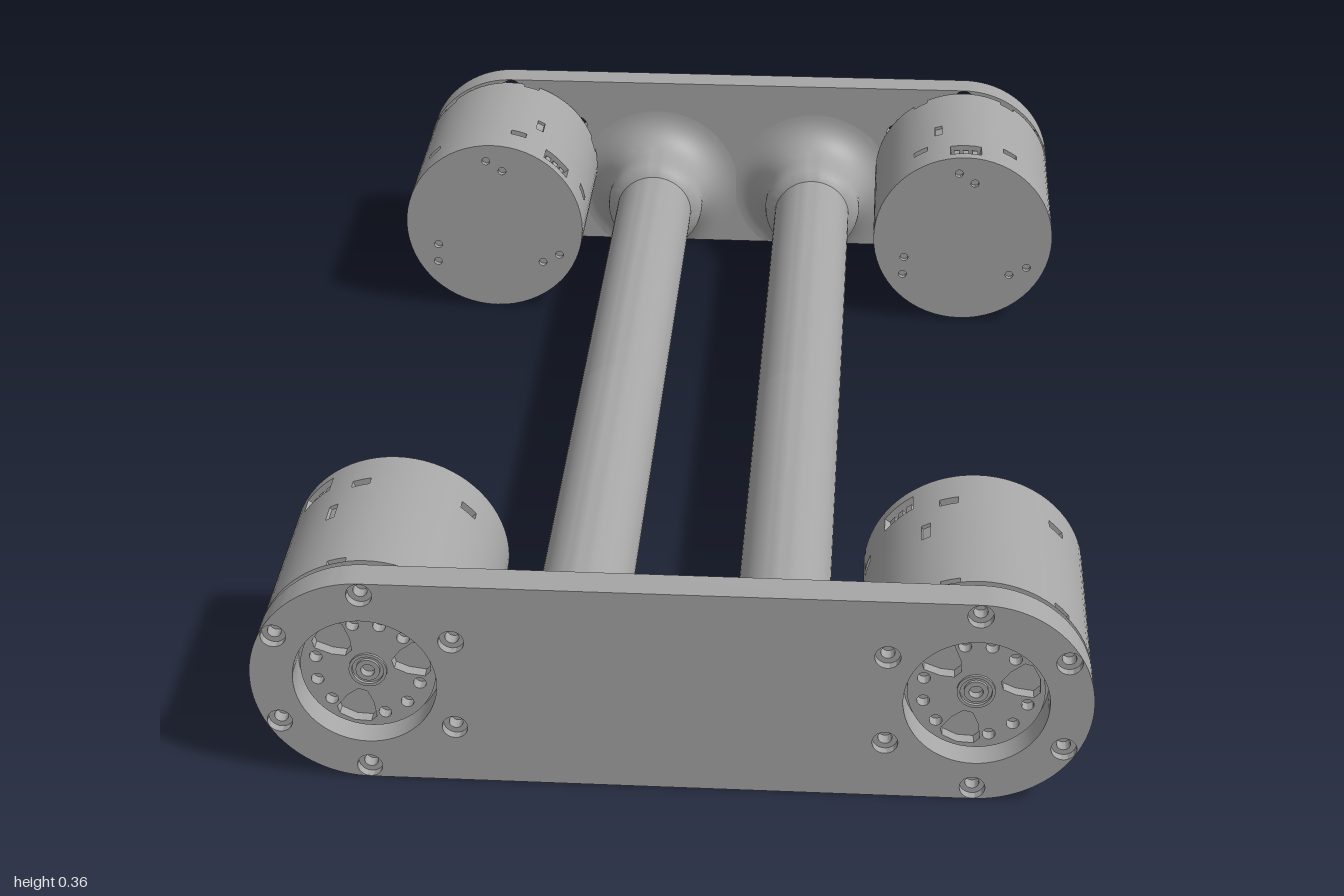
import * as THREE from 'three';
import { toCreasedNormals } from 'three/addons/utils/BufferGeometryUtils.js';

const CY = 0.181;       // height of the motor axes
const MX = 0.475;       // sideways distance of the motor axes
const R = 0.18;         // motor radius
const RAD = Math.PI / 180;

const metal = new THREE.MeshStandardMaterial({ color: 0xa6a6a6 });
metal.name = 'grey metal';

function mesh(name, geometry, crease = 0.5) {
  const m = new THREE.Mesh(toCreasedNormals(geometry, crease), metal);
  m.name = name;
  return m;
}

// Turned part along z; profile rows are [radius, z]
function lathe(profile, segments = 48) {
  return new THREE.LatheGeometry(profile.map(([r, z]) => new THREE.Vector2(r, z)), segments).rotateX(Math.PI / 2);
}

function extrude(shape, z0, z1) {
  return new THREE.ExtrudeGeometry(shape, { depth: z1 - z0, bevelEnabled: false, curveSegments: 32 }).translate(0, 0, z0);
}

function circle(x, y, r, Type = THREE.Path) {
  const p = new Type();
  p.absarc(x, y, r, 0, Math.PI * 2, Type === THREE.Path);
  return p;
}

const polar = (r, deg) => new THREE.Vector2(r * Math.cos(deg * RAD), r * Math.sin(deg * RAD));
const boltSpots = [30, 90, 150, 210, 270, 330].map(a => polar(0.16, a));

// Stadium-shaped end plate with rotor openings and bolt holes
function plateGeometry() {
  const s = new THREE.Shape();
  s.absarc(MX, 0, 0.181, -Math.PI / 2, Math.PI / 2, false);
  s.absarc(-MX, 0, 0.181, Math.PI / 2, Math.PI * 1.5, false);
  s.closePath();
  for (const x of [-MX, MX]) {
    s.holes.push(circle(x, 0, 0.113));
    for (const b of boltSpots) s.holes.push(circle(x + b.x, b.y, 0.02));
  }
  return extrude(s, 0.945, 1).translate(0, CY, 0);
}

// Motor shell: a cylinder grid whose slot and connector cells are sunk
function shellGeometry() {
  const zs = [0.615, 0.635, 0.673, 0.68, 0.698, 0.74, 0.78, 0.92, 0.932];
  const n = 72, pos = [];
  const near = (a, c, w) => Math.abs(((a - c + 540) % 360) - 180) < w;
  const radius = (i, j) => {
    const a = ((i + n) % n) * 5 + 2.5;
    if (j === 1 && (near(a, -45, 10) || near(a, 135, 10))) return R - 0.02;
    if ((j === 3 || j === 7) && near(a % 60, 45, 5)) return R - 0.012;
    if (j === 5 && near(a % 120, 92.5, 1)) return R - 0.006;
    return R;
  };
  const pt = (i, r, z) => [r * Math.sin(i * 5 * RAD), r * Math.cos(i * 5 * RAD), z];
  const quad = (a, b, c, d) => pos.push(...a, ...b, ...c, ...a, ...c, ...d);
  for (let j = 0; j < zs.length - 1; j++) {
    for (let i = 0; i < n; i++) {
      const r = radius(i, j), z0 = zs[j], z1 = zs[j + 1];
      quad(pt(i, r, z0), pt(i, r, z1), pt(i + 1, r, z1), pt(i + 1, r, z0));
      const side = radius(i + 1, j);
      if (side !== r) quad(pt(i + 1, r, z0), pt(i + 1, r, z1), pt(i + 1, side, z1), pt(i + 1, side, z0));
      const next = j < zs.length - 2 ? radius(i, j + 1) : r;
      if (next !== r) quad(pt(i + 1, r, z1), pt(i, r, z1), pt(i, next, z1), pt(i + 1, next, z1));
    }
  }
  const g = new THREE.BufferGeometry();
  g.setAttribute('position', new THREE.Float32BufferAttribute(pos, 3));
  return g;
}

function buildMotor() {
  const motor = new THREE.Group();
  motor.name = 'motor';
  motor.add(mesh('motorShell', shellGeometry()));

  // Inner end cap with three pairs of screw holes
  const cap = circle(0, 0, R - 0.0005, THREE.Shape);
  for (const a of [90, 210, 330]) {
    for (const [r, d] of [[0.145, -5], [0.125, 9]]) {
      const p = polar(r, a + d);
      cap.holes.push(circle(p.x, p.y, 0.008));
    }
  }
  motor.add(mesh('endCap', extrude(cap, 0.615, 0.627)));
  motor.add(mesh('capFloor', lathe([[0, 0.625], [0.155, 0.625], [0.155, 0.632], [0, 0.632]])));

  // Outer lid and the narrower neck that meets the plate
  motor.add(mesh('neck', lathe([[R, 0.932], [0.165, 0.932], [0.165, 0.946], [0, 0.946]], 72)));

  // Connector pins
  for (const deg of [-45, 135]) {
    for (const k of [-1, 0, 1]) {
      const pin = mesh('connectorPin', new THREE.BoxGeometry(0.011, 0.015, 0.02));
      const a = (deg + k * 6) * RAD;
      pin.position.set(0.166 * Math.sin(a), 0.166 * Math.cos(a), 0.654);
      pin.rotation.z = -a;
      motor.add(pin);
    }
  }

  // Output rotor with triangular windows and small holes
  const disc = circle(0, 0, 0.107, THREE.Shape);
  for (const a of [15, 135, 255]) {
    const w = [[0.042, -10], [0.042, 10], [0.062, 20], [0.09, 21], [0.099, 15],
      [0.101, 0], [0.099, -15], [0.09, -21], [0.062, -20]];
    disc.holes.push(new THREE.Path(w.map(([r, d]) => polar(r, a + d))));
    for (const d of [31, 60, 89]) {
      const p = polar(0.084, a + d);
      disc.holes.push(circle(p.x, p.y, 0.01));
    }
  }
  disc.holes.push(circle(0, 0, 0.03));
  motor.add(mesh('rotor', extrude(disc, 0.946, 0.965)));
  motor.add(mesh('hub', lathe([[0.03, 0.946], [0.03, 0.969], [0.025, 0.969], [0.025, 0.964],
    [0.019, 0.964], [0.019, 0.969], [0.011, 0.969], [0.011, 0.955], [0, 0.955]], 32)));
  return motor;
}

// Half tube with collar and a fillet that spreads onto the plate
function tubeGeometry() {
  const profile = [[0.077, 0], [0.077, 0.812], [0.089, 0.82], [0.096, 0.83], [0.098, 0.842], [0.098, 0.875]];
  for (let i = 1; i <= 10; i++) {
    const t = i / 10 * Math.PI / 2;
    profile.push([0.168 - 0.07 * Math.cos(t), 0.875 + 0.07 * Math.sin(t)]);
  }
  const g = lathe(profile, 64).translate(0, 0.13, 0);
  // Trim the fillet at the lower edge of the plate
  const p = g.attributes.position;
  for (let i = 0; i < p.count; i++) p.setY(i, Math.max(p.getY(i), 0.002));
  return g;
}

function buildEnd(spins) {
  const end = new THREE.Group();
  end.add(mesh('endPlate', plateGeometry()));
  [-1, 1].forEach((s, k) => {
    const motor = buildMotor();
    motor.position.set(s * MX, CY, 0);
    motor.getObjectByName('motorShell').rotation.z = -spins[k];
    motor.children.filter(c => c.name === 'connectorPin').forEach(c => {
      c.position.applyAxisAngle(new THREE.Vector3(0, 0, 1), -spins[k]);
      c.rotation.z -= spins[k];
    });
    end.add(motor);

    // Sunken plate bolts
    for (const b of boltSpots) {
      const bolt = mesh('plateBolt', lathe([[0.02, 0.946], [0.02, 0.986], [0.011, 0.986], [0.011, 0.965], [0, 0.965]], 24));
      bolt.position.set(s * MX + b.x, CY + b.y, 0);
      end.add(bolt);
    }

    const tube = mesh('tube', tubeGeometry(), 0.7);
    tube.position.x = s * 0.165;
    end.add(tube);
  });
  return end;
}

export function createModel() {
  const model = new THREE.Group();
  model.name = 'motorFrame';
  const front = buildEnd([0, 0]);
  front.name = 'frontEnd';
  const back = buildEnd([Math.PI / 4, 0]);
  back.name = 'backEnd';
  back.rotation.y = Math.PI;
  model.add(front, back);
  return model;
}
